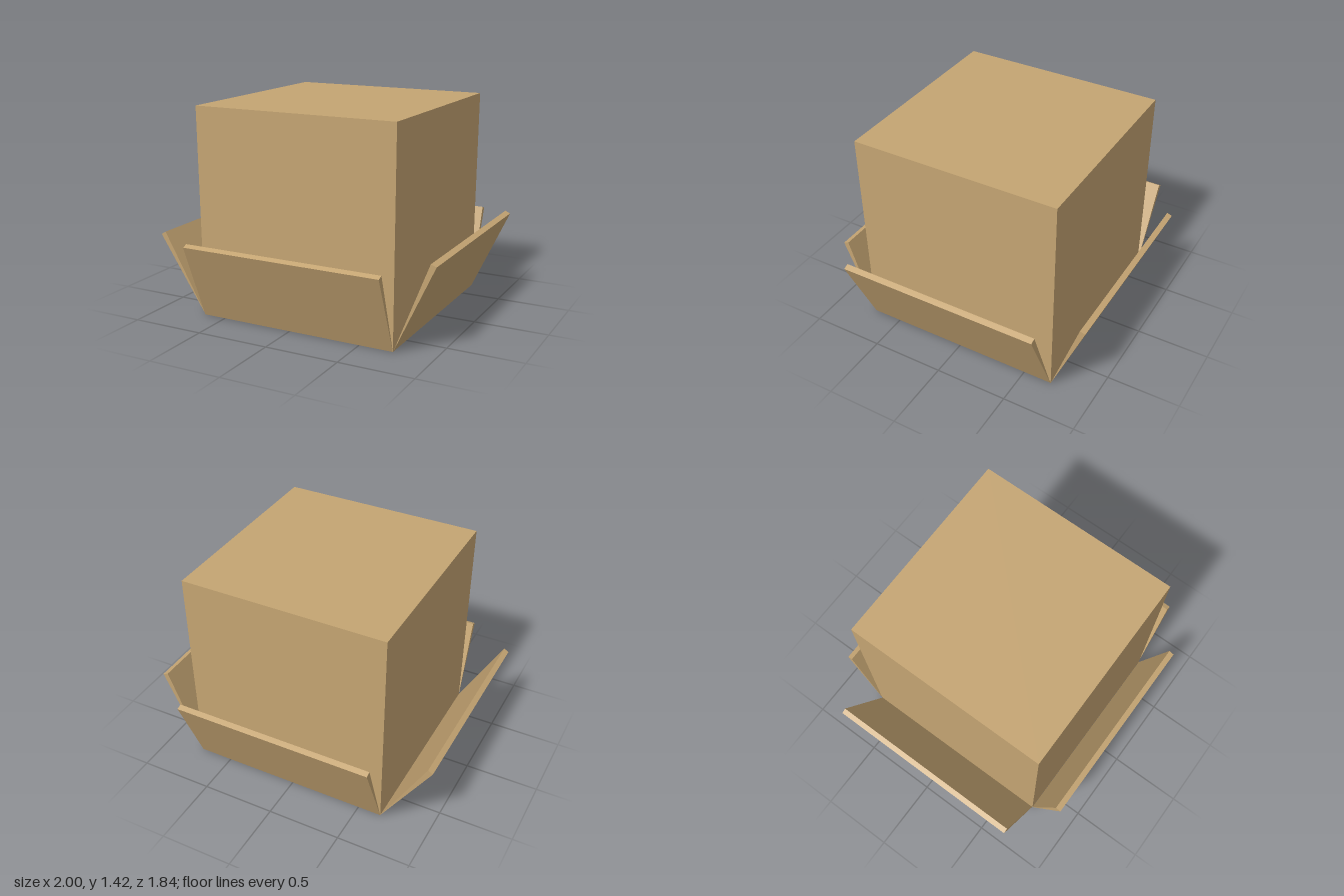
import * as THREE from 'three';

const cardboard = new THREE.MeshStandardMaterial({ color: 0xc4a472, side: THREE.DoubleSide });

// Upturned carton: five thin panels, open at the bottom, slightly wider at the top
function makeShell(height) {
  const geometry = new THREE.BoxGeometry(1, height, 1);
  const index = Array.from(geometry.index.array);
  index.splice(18, 6); // the bottom face
  geometry.setIndex(index);
  const p = geometry.attributes.position;
  for (let i = 0; i < p.count; i++) {
    const top = p.getY(i) > 0;
    const width = top ? 1.41 : 1.39;
    const depth = top ? 1.425 : 1.405;
    p.setXYZ(i, p.getX(i) * width, top ? height : 0, p.getZ(i) * depth);
  }
  geometry.computeVertexNormals();
  const shell = new THREE.Mesh(geometry, cardboard);
  shell.name = 'cartonShell';
  return shell;
}

// Flap: a wedge that is sharp at the hinge and thicker at its free edge.
// outer and inner are [distance outward, height] of the two tip corners.
function makeFlap(name, outer, inner, length, x, z, angle) {
  const section = new THREE.Shape();
  section.moveTo(0, 0);
  section.lineTo(...outer);
  section.lineTo(...inner);
  section.closePath();
  const geometry = new THREE.ExtrudeGeometry(section, { depth: length, bevelEnabled: false });
  geometry.translate(0, 0, -length / 2);
  const flap = new THREE.Mesh(geometry, cardboard);
  flap.name = name;
  flap.position.set(x, 0, z);
  flap.rotation.y = angle;
  return flap;
}

export function createModel() {
  const model = new THREE.Group();
  model.name = 'openCarton';

  const cx = 0.035, cz = 0.005;
  const shell = makeShell(1.42);
  shell.position.set(cx, 0, cz);
  model.add(shell);

  // Four flaps folded outward and up from the open rim
  const q = Math.PI / 2;
  model.add(
    makeFlap('leftFlap', [0.27, 0.58], [0.233, 0.595], 1.40, 0.73, cz, 0),
    makeFlap('rightFlap', [0.34, 0.52], [0.307, 0.54], 1.40, -0.66, cz, 2 * q),
    makeFlap('frontFlap', [0.215, 0.528], [0.178, 0.542], 1.39, cx, 0.708, -q),
    makeFlap('backFlap', [0.223, 0.54], [0.187, 0.553], 1.39, cx, -0.698, q),
  );
  return model;
}
